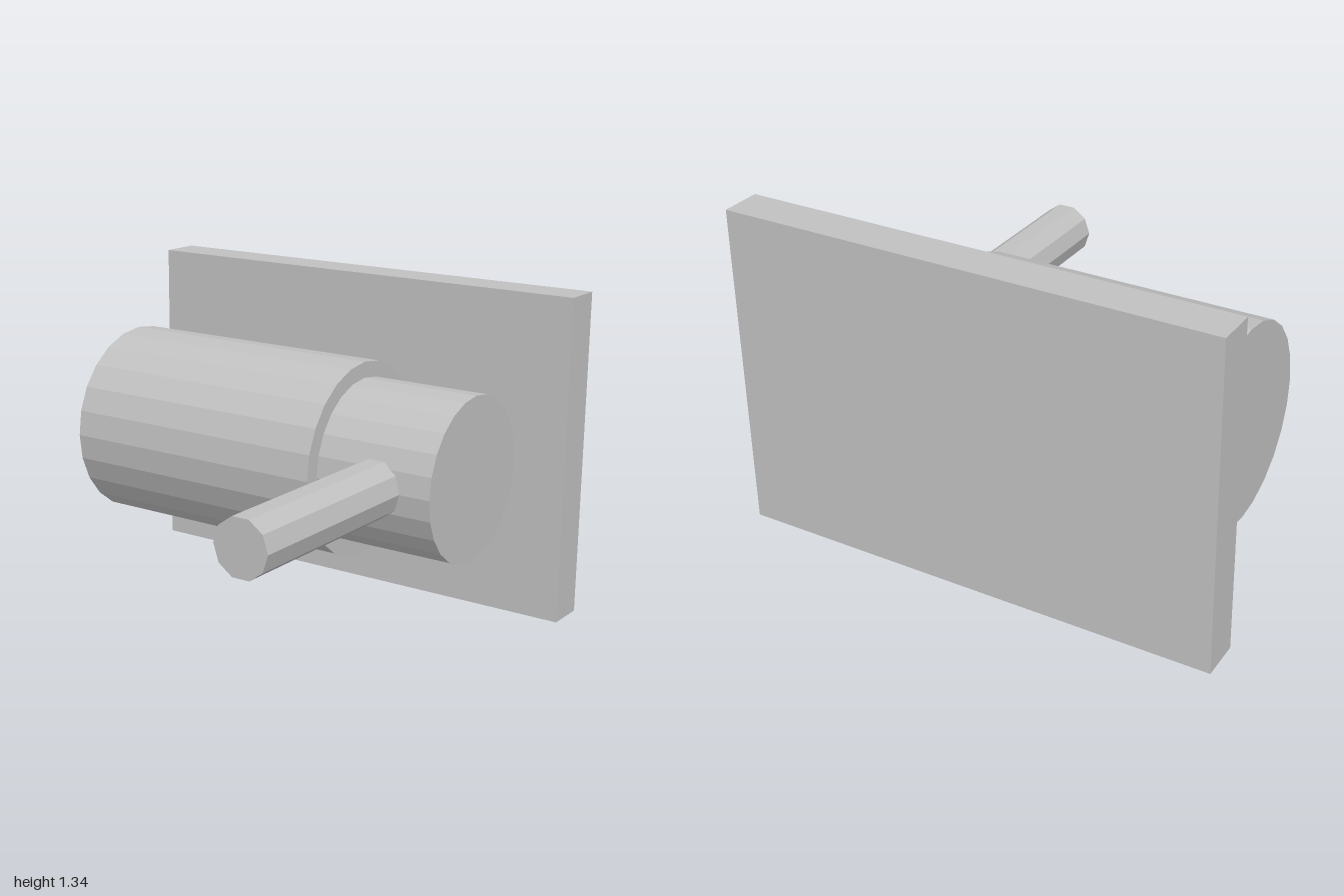
import * as THREE from 'three';

export function createModel() {
  const model = new THREE.Group();
  const grey = new THREE.MeshStandardMaterial({ color: 0xc0c0c0, flatShading: true });
  grey.name = 'light grey';

  const axisY = 0.668, axisZ = -0.303;

  function add(name, geometry, x, y, z) {
    const mesh = new THREE.Mesh(geometry, grey);
    mesh.name = name;
    mesh.position.set(x, y, z);
    model.add(mesh);
  }

  // Cylinder lying along x, from x0 to x1
  function barrel(name, radius, x0, x1) {
    const geometry = new THREE.CylinderGeometry(radius, radius, x1 - x0, 24).rotateZ(Math.PI / 2);
    add(name, geometry, (x0 + x1) / 2, axisY, axisZ);
  }

  // Upright mounting plate at the back
  add('backPlate', new THREE.BoxGeometry(2, 1.336, 0.165), 0, axisY, -0.7825);

  // Stepped body
  barrel('mainBarrel', 0.398, -0.85, 0.31);
  barrel('endBarrel', 0.333, 0.31, 0.81);

  // Ten-sided handle reaching forward from the axis of the end barrel
  const length = 0.865 - axisZ;
  const handle = new THREE.CylinderGeometry(0.115, 0.115, length, 10, 1, false, Math.PI / 2).rotateX(Math.PI / 2);
  add('handle', handle, 0.565, axisY, axisZ + length / 2);

  return model;
}
